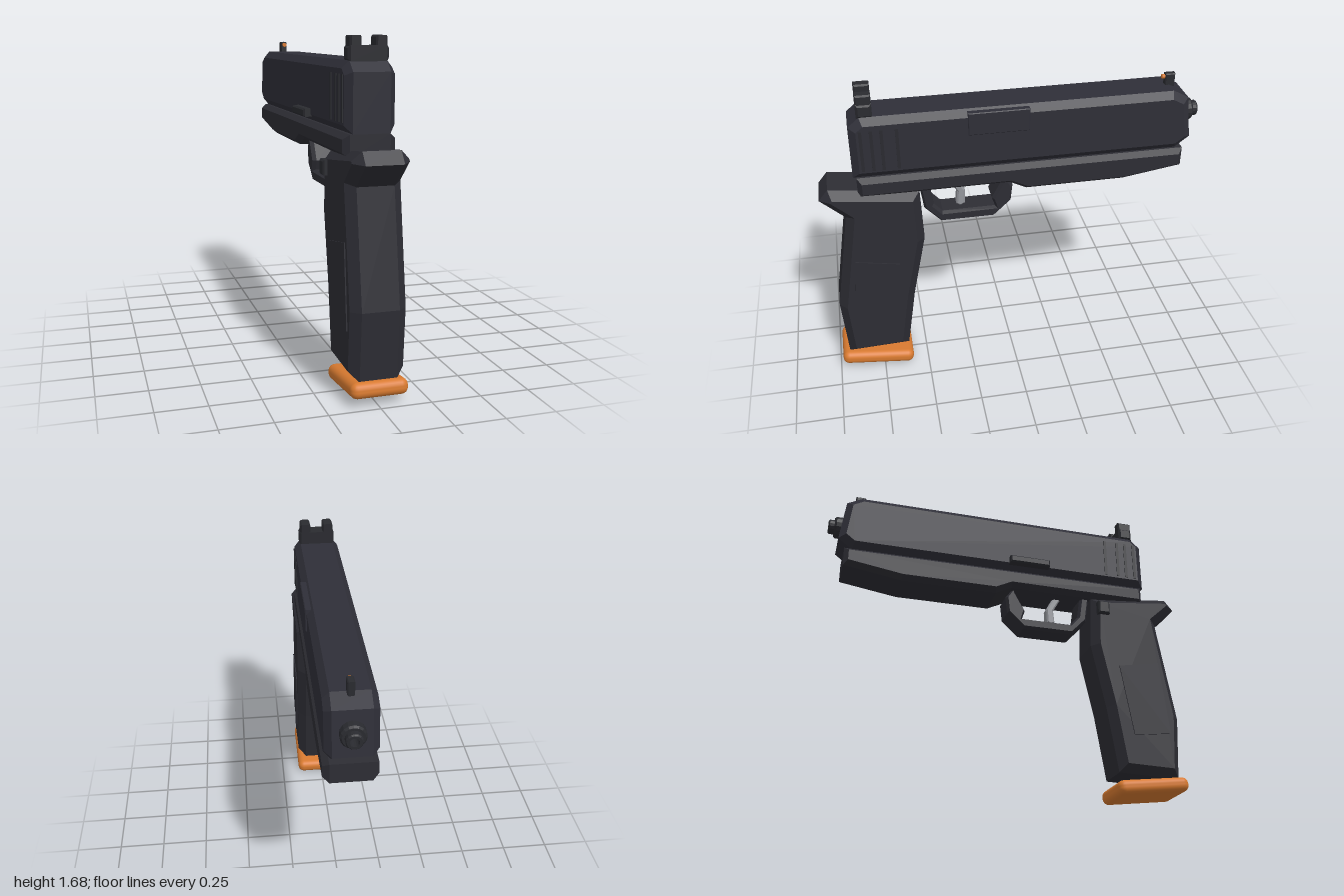
import * as THREE from 'three';
import { RoundedBoxGeometry } from 'three/addons/geometries/RoundedBoxGeometry.js';

const CX = 0.007; // mid plane of the body

const flat = (name, color) => {
  const m = new THREE.MeshStandardMaterial({ color });
  m.name = name;
  return m;
};

// Chamfered plate from a side profile of [z, y] points, spanning x0..x1
function sidePlate(points, x0, x1, bevel = 0, thick = bevel) {
  const shape = new THREE.Shape(points.map(([z, y]) => new THREE.Vector2(-z, y)));
  const geo = new THREE.ExtrudeGeometry(shape, {
    depth: x1 - x0 - 2 * thick,
    bevelEnabled: bevel > 0,
    bevelSize: bevel,
    bevelOffset: -bevel,
    bevelThickness: thick,
    bevelSegments: 1,
  });
  geo.translate(0, 0, x0 + thick);
  geo.rotateY(Math.PI / 2);
  return geo;
}

// Chamfered block from its side rectangle and x range
const block = (z0, z1, y0, y1, x0, x1, bevel = 0.008) =>
  sidePlate([[z0, y0], [z0, y1], [z1, y1], [z1, y0]], x0, x1, bevel);

export function createModel() {
  const root = new THREE.Group();
  const slideMat = flat('slide charcoal', 0x2f2f38);
  const frameMat = flat('frame charcoal', 0x2d2d34);
  const darkMat = flat('dark metal', 0x2a2b30);
  const orange = flat('orange', 0xd87a30);
  const steel = flat('steel', 0x94969c);

  const add = (name, geo, mat) => {
    const mesh = new THREE.Mesh(geo, mat);
    mesh.name = name;
    root.add(mesh);
    return mesh;
  };

  // Slide
  add('slide', sidePlate([
    [0.813, 1.243], [0.813, 1.52], [0.755, 1.57], [-0.834, 1.57],
    [-0.915, 1.527], [-0.945, 1.30], [-0.87, 1.243],
  ], CX - 0.122, CX + 0.122, 0.036, 0.032), slideMat);

  // Rear grip ridges on both sides
  for (const side of [-1, 1]) {
    for (const z of [0.757, 0.705, 0.655, 0.58]) {
      const x = CX + side * 0.122;
      add('slideRidge', block(z + 0.008, z - 0.008, 1.29, 1.51, x - 0.004, x + 0.004, 0), darkMat);
    }
  }

  // Port cover and controls
  add('portCover', block(0.23, -0.08, 1.44, 1.56, 0.1, 0.138, 0.004), slideMat);
  add('slideLever', block(0.23, 0, 1.268, 1.31, -0.153, -0.1), darkMat);
  add('releaseButton', block(0.575, 0.51, 1.02, 1.095, -0.153, -0.1), darkMat);

  // Frame
  add('frame', sidePlate([
    [0.797, 1.13], [0.797, 1.24], [-0.91, 1.24], [-0.91, 1.136],
    [-0.594, 1.088], [-0.07, 1.088], [0.02, 1.132],
  ], CX - 0.128, CX + 0.128, 0.024, 0.03), frameMat);

  // Grip with tail
  add('grip', sidePlate([
    [0.995, 1.126], [0.947, 1.185], [0.487, 1.13], [0.476, 0.837], [0.55, 0.48],
    [0.604, 0.126], [0.94, 0.115], [0.963, 0.452], [0.872, 1.013],
  ], CX - 0.136, CX + 0.136, 0.042, 0.045), frameMat);

  // Raised grip panels
  const panel = [[0.85, 0.757], [0.62, 0.714], [0.685, 0.323], [0.893, 0.35]];
  for (const side of [-1, 1]) {
    const x = CX + side * 0.138;
    add('gripPanel', sidePlate(panel, x - 0.004, x + 0.004), frameMat);
  }

  // Trigger guard and trigger
  add('triggerGuard', sidePlate([
    [0.487, 1.15], [0.465, 1.0], [0.38, 0.91], [0.096, 0.91], [0.005, 0.995],
    [-0.005, 1.09], [0.04, 1.15], [0.05, 1.125], [0.107, 1.02], [0.09, 0.97],
    [0.37, 0.97], [0.415, 1.02], [0.435, 1.15],
  ], CX - 0.075, CX + 0.075, 0.012, 0.02), frameMat);
  add('trigger', sidePlate([
    [0.33, 1.14], [0.285, 1.06], [0.292, 0.985], [0.27, 0.972], [0.247, 0.985],
    [0.244, 1.065], [0.285, 1.14],
  ], CX - 0.03, CX + 0.03, 0.008), steel);

  // Base plate
  const base = add('basePlate', new RoundedBoxGeometry(0.282, 0.077, 0.4, 3, 0.034), orange);
  base.position.set(CX, 0.062, 0.783);
  base.rotation.x = -0.12;

  // Stepped muzzle with bore
  const muzzle = add('muzzle', new THREE.LatheGeometry([
    [0.06, -0.1], [0.06, 0.035], [0.052, 0.045], [0.04, 0.045], [0.04, 0.07],
    [0.034, 0.077], [0.022, 0.077], [0.022, 0.02], [0, 0.02],
  ].map(([r, h]) => new THREE.Vector2(r, h)), 16).toNonIndexed(), darkMat);
  muzzle.geometry.computeVertexNormals();
  muzzle.rotation.x = -Math.PI / 2;
  muzzle.position.set(CX, 1.418, -0.923);

  // Sights
  add('rearSightBase', block(0.767, 0.688, 1.565, 1.637, CX - 0.098, CX + 0.098, 0.012), darkMat);
  for (const side of [-1, 1]) {
    const x = CX + side * 0.062;
    add('rearSightPost', block(0.767, 0.688, 1.625, 1.682, x - 0.028, x + 0.028), darkMat);
  }
  add('frontSight', block(-0.81, -0.862, 1.56, 1.63, CX - 0.017, CX + 0.017, 0.005), darkMat);
  const bead = add('frontSightBead', new THREE.CylinderGeometry(0.012, 0.012, 0.02, 12), orange);
  bead.rotation.x = Math.PI / 2;
  bead.position.set(CX, 1.612, -0.805);

  return root;
}
